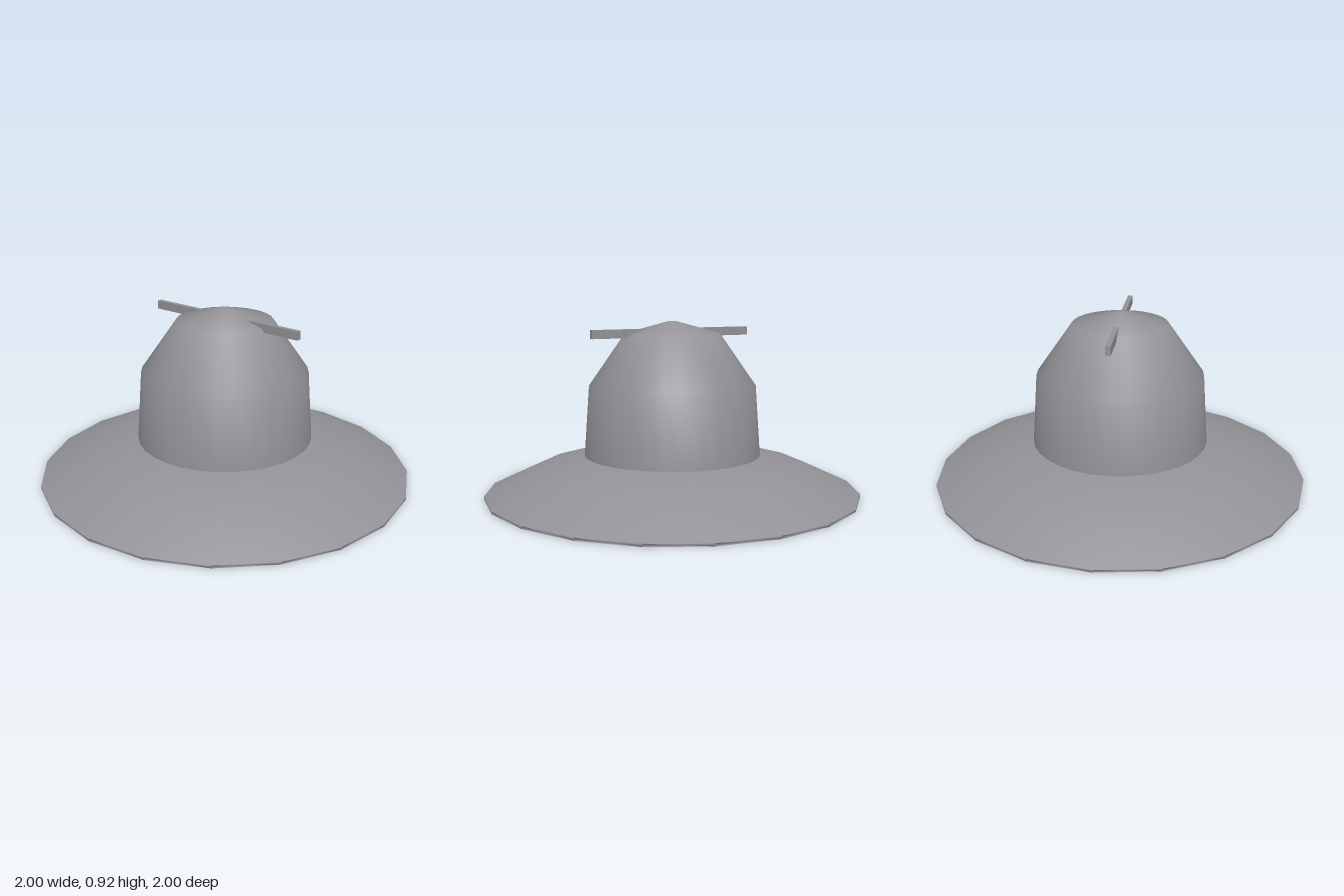
import * as THREE from 'three';

const points = (list) => list.map(([r, y]) => new THREE.Vector2(r, y));

export function createModel() {
  const hat = new THREE.Group();
  hat.name = 'hat';

  const felt = new THREE.MeshStandardMaterial({ color: 0x919196, side: THREE.DoubleSide });
  felt.name = 'grey felt';

  const add = (name, geometry) => {
    const mesh = new THREE.Mesh(geometry, felt);
    mesh.name = name;
    hat.add(mesh);
    return mesh;
  };

  // Sloping brim: a thin closed ring, underside first, then the top
  const brimProfile = points([
    [0.47, 0.192], [0.72, 0.127], [1, 0],
    [1, 0.015], [0.72, 0.145], [0.47, 0.21], [0.47, 0.192],
  ]);
  add('brim', new THREE.LatheGeometry(brimProfile, 20));

  // Hollow crown, open at the bottom
  const crownProfile = points([[0.47, 0.208], [0.443, 0.583], [0.253, 0.856], [0.02, 0.92]]);
  add('crown', new THREE.LatheGeometry(crownProfile, 32));

  // Small flat button closing the tip
  add('tipButton', new THREE.CircleGeometry(0.02, 12).rotateX(-Math.PI / 2).translate(0, 0.92, 0));

  // Two slim pins emerging from the front and back of the crown
  for (const side of [1, -1]) {
    const pin = add(side > 0 ? 'frontPin' : 'backPin', new THREE.BoxGeometry(0.026, 0.045, 0.32));
    pin.position.set(0, 0.86, side * 0.305);
  }

  return hat;
}
